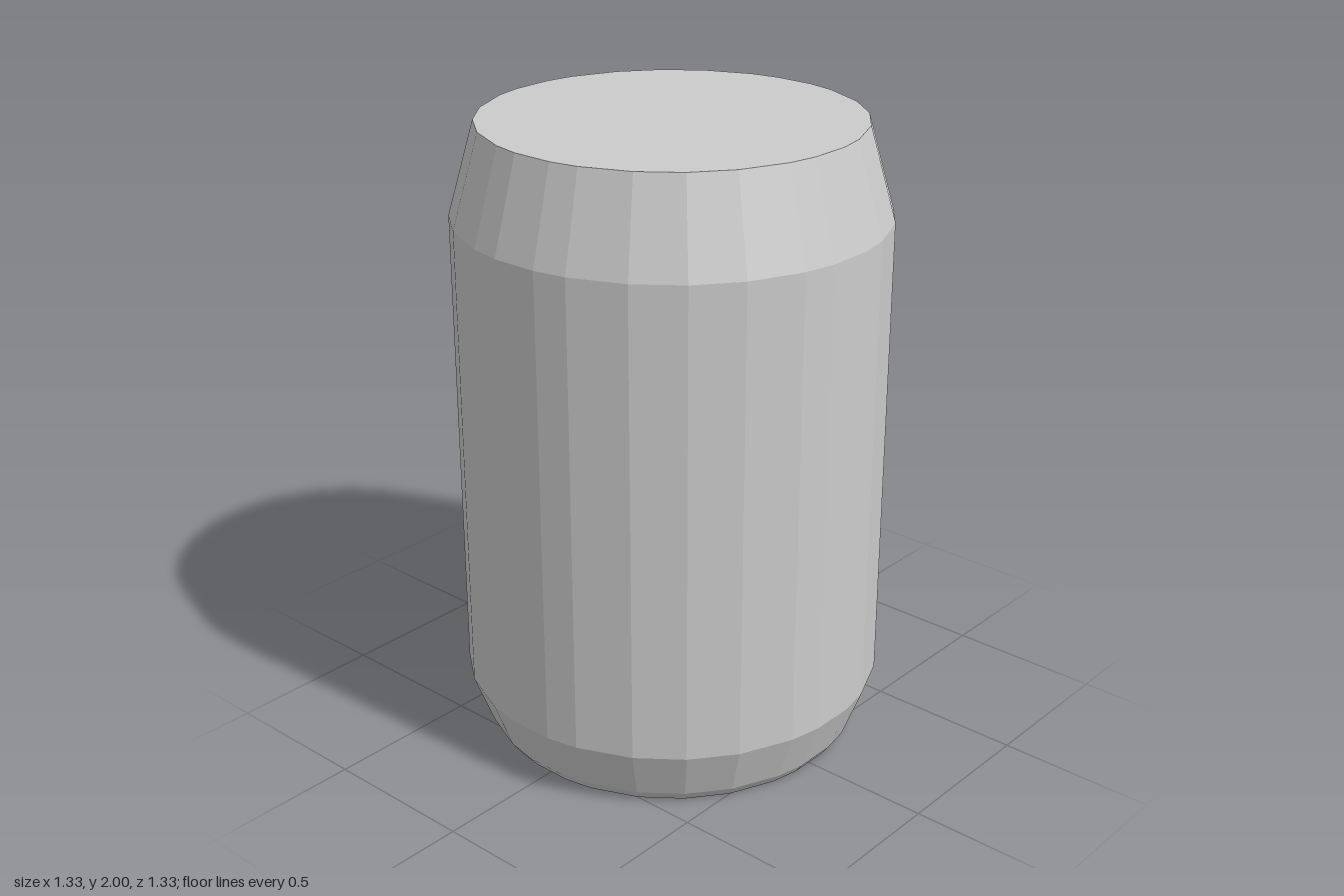
import * as THREE from 'three';

// Facet corners within each quarter turn, in degrees
const QUARTER = [6.5, 15.5, 31, 45, 59, 74.5, 83.5];

// Lathe a profile, then move its corners to the uneven facet angles
function facetedLathe(points) {
  const n = QUARTER.length, sides = n * 4;
  const angles = [];
  for (let i = 0; i <= sides; i++) {
    angles.push(THREE.MathUtils.degToRad(QUARTER[i % n] + 90 * Math.floor(i / n)));
  }
  const geo = new THREE.LatheGeometry(points.map(([r, y]) => new THREE.Vector2(r, y)), sides);
  const pos = geo.attributes.position;
  for (let i = 0; i <= sides; i++) {
    points.forEach(([r, y], j) => {
      pos.setXYZ(i * points.length + j, r * Math.sin(angles[i]), y, r * Math.cos(angles[i]));
    });
  }
  const flat = geo.toNonIndexed();
  flat.computeVertexNormals();
  return flat;
}

export function createModel() {
  const group = new THREE.Group();
  group.name = 'can';
  const material = new THREE.MeshStandardMaterial({ color: 0xcccccc, flatShading: true });
  const add = (name, points) => {
    const mesh = new THREE.Mesh(facetedLathe(points), material);
    mesh.name = name;
    group.add(mesh);
  };

  // Closed base with a small bevel and a flared lower band
  add('base', [[0, 0], [0.582, 0], [0.608, 0.035], [0.67, 0.2]]);
  // Straight side wall
  add('body', [[0.67, 0.2], [0.67, 1.71]]);
  // Shoulder tapering in to the flat lid
  add('shoulder', [[0.67, 1.71], [0.587, 2]]);
  add('lid', [[0.587, 2], [0, 2]]);
  return group;
}
